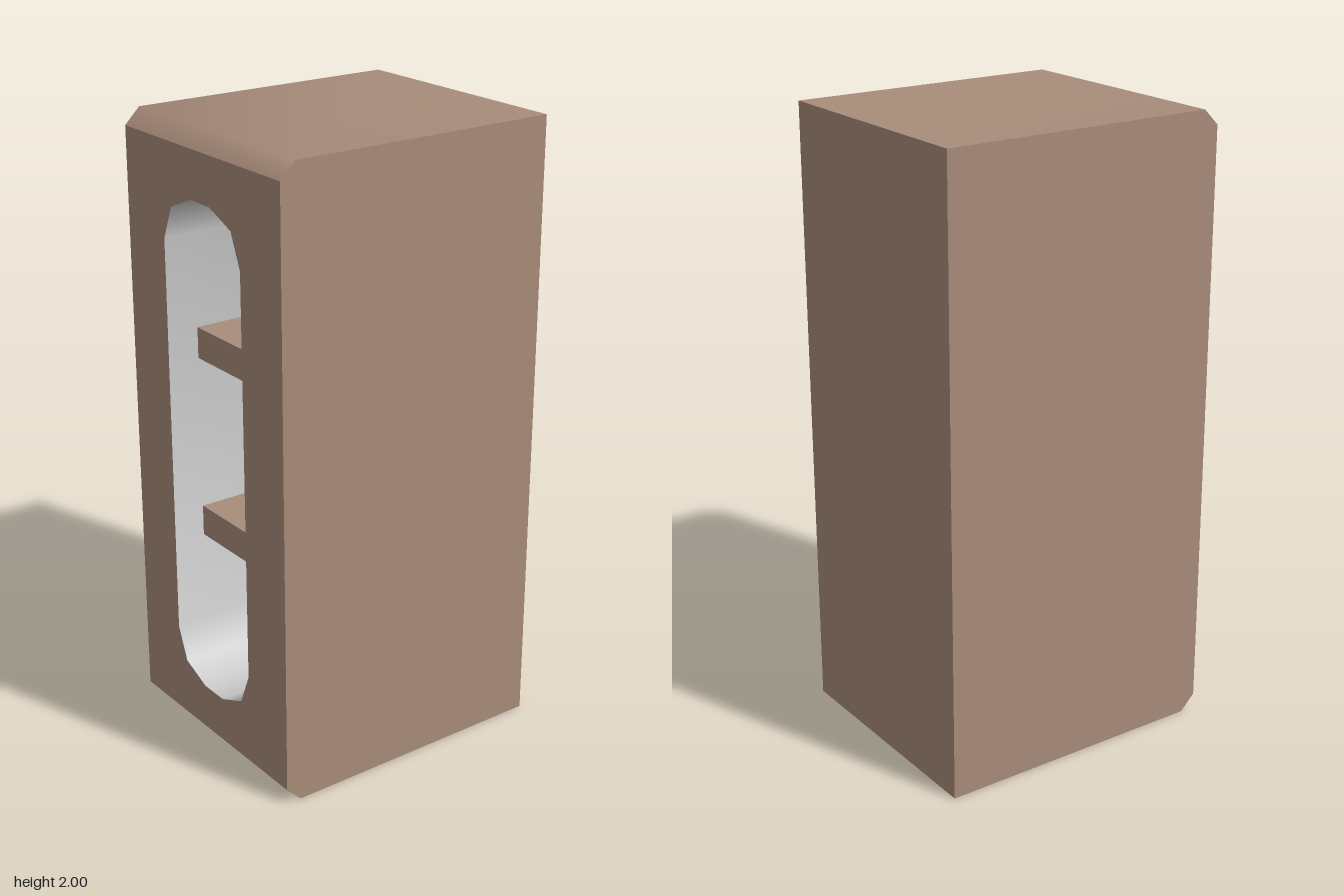
import * as THREE from 'three';
import { toCreasedNormals } from 'three/addons/utils/BufferGeometryUtils.js';

const W = 0.95, H = 2, D = 0.8, BEVEL = 0.05;
const X0 = -W / 2, CAVITY = 0.85;

// Strip of walls following a 2D outline between two z values
function sweep(points, z0, z1) {
  const pos = [];
  for (let i = 0; i < points.length - 1; i++) {
    const p = points[i], q = points[i + 1];
    pos.push(p.x, p.y, z0, q.x, q.y, z0, q.x, q.y, z1);
    pos.push(p.x, p.y, z0, q.x, q.y, z1, p.x, p.y, z1);
  }
  const geo = new THREE.BufferGeometry();
  geo.setAttribute('position', new THREE.Float32BufferAttribute(pos, 3));
  return toCreasedNormals(geo, 1);
}

// Counter-clockwise rectangle outline with two-segment rounded corners
function roundedOutline(halfW, y0, y1, r) {
  const points = [];
  const corners = [[halfW - r, y0 + r, -90], [halfW - r, y1 - r, 0], [r - halfW, y1 - r, 90], [r - halfW, y0 + r, 180]];
  for (const [cx, cy, start] of corners) {
    for (let i = 0; i <= 2; i++) {
      const a = THREE.MathUtils.degToRad(start + i * 45);
      points.push(new THREE.Vector2(cx + r * Math.cos(a), cy + r * Math.sin(a)));
    }
  }
  return points;
}

export function createModel() {
  const group = new THREE.Group();
  const wood = new THREE.MeshStandardMaterial({ color: 0xa88c7a });
  const lining = new THREE.MeshStandardMaterial({ color: 0xcccccc });
  wood.name = 'wood';
  lining.name = 'lining';

  const add = (name, geo, mat) => {
    const mesh = new THREE.Mesh(geo, mat);
    mesh.name = name;
    group.add(mesh);
    return mesh;
  };
  // Turns a flat piece drawn in xy so that it faces -x
  const faceOpening = (geo, x) => geo.rotateY(-Math.PI / 2).translate(x, 0, 0);

  // Cabinet shell, chamfered along the open side
  const profile = [
    [X0, BEVEL], [X0 + BEVEL, 0], [-X0, 0], [-X0, H], [X0 + BEVEL, H], [X0, H - BEVEL],
  ].map(([x, y]) => new THREE.Vector2(x, y));
  add('shell', sweep(profile, -D / 2, D / 2), wood);
  const panel = new THREE.ShapeGeometry(new THREE.Shape(profile));
  add('frontPanel', panel.clone().translate(0, 0, D / 2), wood);
  add('backPanel', panel.clone().rotateY(Math.PI).scale(1, 1, 1), wood);
  // Mirrored chamfer side for the back panel
  const back = group.children[group.children.length - 1];
  back.geometry = new THREE.ShapeGeometry(
    new THREE.Shape(profile.map((p) => new THREE.Vector2(-p.x, p.y)).reverse())
  ).rotateY(Math.PI).translate(0, 0, -D / 2);

  // Face frame around the rounded opening
  const outline = roundedOutline(0.2, 0.2, 1.8, 0.15);
  const frame = new THREE.Shape([
    [-D / 2, BEVEL], [D / 2, BEVEL], [D / 2, H - BEVEL], [-D / 2, H - BEVEL],
  ].map(([x, y]) => new THREE.Vector2(x, y)));
  frame.holes.push(new THREE.Path(outline));
  add('openingFrame', faceOpening(new THREE.ShapeGeometry(frame), X0), wood);

  // Cavity walls and end wall
  add('cavityWalls', faceOpening(sweep([...outline, outline[0]], 0, -CAVITY), X0), lining);
  add('cavityEnd', faceOpening(new THREE.ShapeGeometry(new THREE.Shape(outline)), X0 + CAVITY), lining);

  // Two shelves set back from the opening
  const inset = 0.105, depth = CAVITY - inset;
  for (const y of [0.7, 1.3]) {
    add('shelf', new THREE.BoxGeometry(depth, 0.1, 0.4), wood)
      .position.set(X0 + inset + depth / 2, y, 0);
  }
  return group;
}
